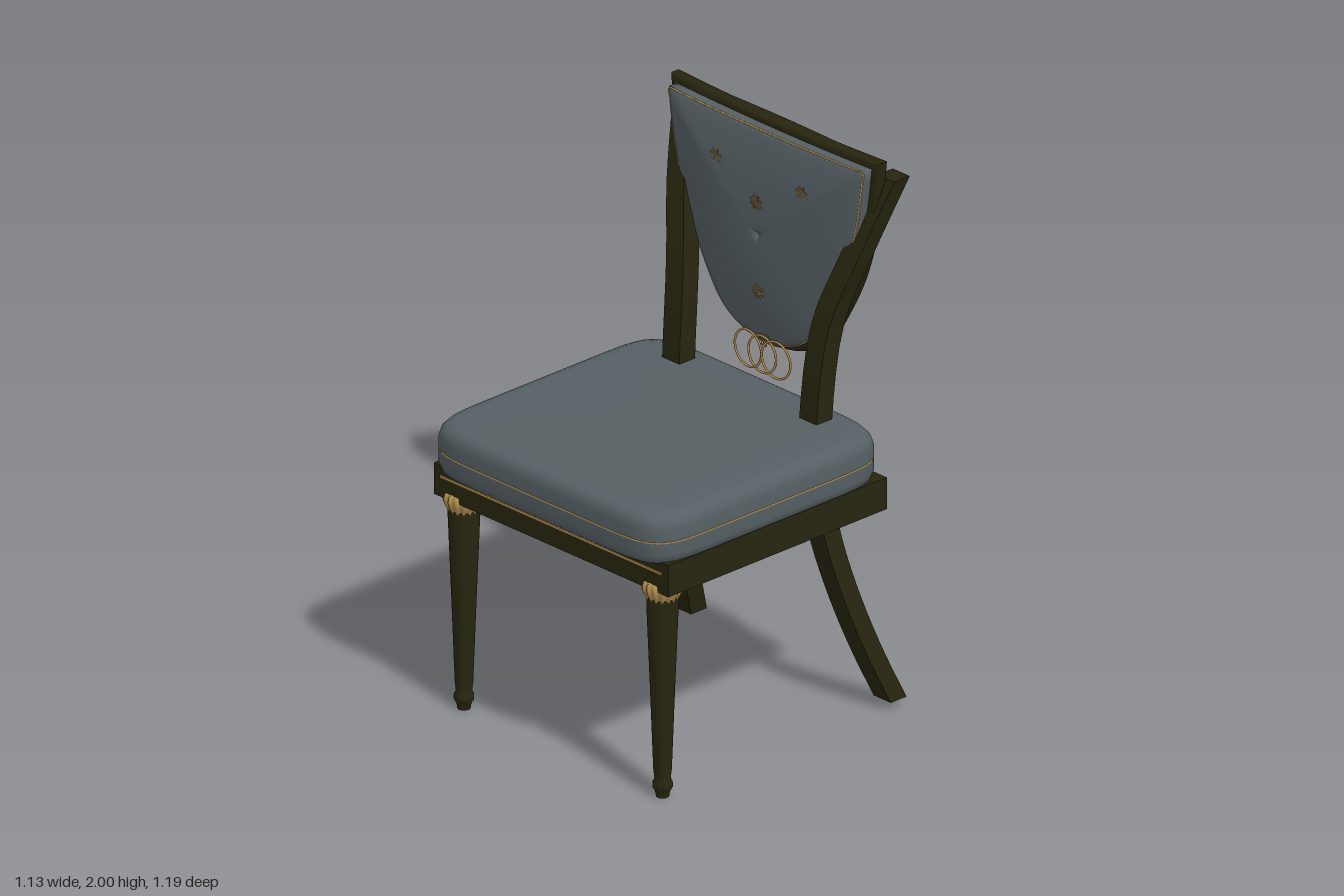
import * as THREE from 'three';
import { toCreasedNormals } from 'three/addons/utils/BufferGeometryUtils.js';

const V = (x, y, z) => new THREE.Vector3(x, y, z);
const wood = new THREE.MeshStandardMaterial({ color: 0x27250f });
wood.name = 'dark wood';
const fabric = new THREE.MeshStandardMaterial({ color: 0x566064 });
fabric.name = 'grey fabric';
const gold = new THREE.MeshStandardMaterial({ color: 0xb08d4e });
gold.name = 'antique gold';

// Skin over a list of closed rings with equal point counts
function loft(rings) {
  const n = rings[0].length, pos = [], index = [];
  rings.forEach((ring) => ring.forEach((p) => pos.push(p.x, p.y, p.z)));
  for (let i = 0; i < rings.length - 1; i++) {
    for (let j = 0; j < n; j++) {
      const k = (j + 1) % n, a = i * n + j, b = i * n + k;
      index.push(a, b, b + n, a, b + n, a + n);
    }
  }
  const g = new THREE.BufferGeometry();
  g.setAttribute('position', new THREE.Float32BufferAttribute(pos, 3));
  g.setIndex(index);
  g.computeVertexNormals();
  return g;
}

// Shield outline, counter-clockwise from the bottom tip; half = right side points
function shield(half, dip) {
  const side = new THREE.CatmullRomCurve3(half.map(([x, y]) => V(x, y, 0))).getPoints(28);
  const [w, top] = half[half.length - 1];
  const rail = [];
  for (let i = 1; i < 20; i++) {
    const t = 1 - i / 10;
    rail.push(V(w * t, top - dip * (1 - t * t), 0));
  }
  const left = side.slice(1).reverse().map((p) => V(-p.x, p.y, 0));
  return [...side, ...rail, ...left];
}

// Rounded-square seat ring, inset from the full cushion size
function seatRing(inset, y, scale = 1) {
  const ring = [], n = 9, count = 128;
  for (let i = 0; i < count; i++) {
    const a = (i / count) * Math.PI * 2, c = Math.cos(a), s = Math.sin(a);
    const r = (Math.abs(c) ** n + Math.abs(s) ** n) ** (-1 / n) * scale;
    ring.push(V(c * r * (0.565 - inset), y, 0.06 - s * r * (0.535 - inset)));
  }
  return ring;
}

export function createModel() {
  const root = new THREE.Group();
  root.name = 'chair';
  const add = (name, geometry, material, x = 0, y = 0, z = 0, parent = root) => {
    const m = new THREE.Mesh(geometry, material);
    m.name = name;
    m.position.set(x, y, z);
    parent.add(m);
    return m;
  };
  const loop = (points, r) =>
    new THREE.TubeGeometry(new THREE.CatmullRomCurve3(points, true), 220, r, 6, true);

  // Seat frame with gold inlay on front and back
  add('seatFrame', new THREE.BoxGeometry(1.12, 0.115, 1.0), wood, 0, 0.8275, 0.04);
  add('frontInlay', new THREE.BoxGeometry(1.06, 0.009, 0.006), gold, 0, 0.845, 0.541);
  add('backInlay', new THREE.BoxGeometry(1.06, 0.009, 0.006), gold, 0, 0.845, -0.461);

  // Seat cushion and its piping
  const layers = [[0.06, 0.868], [0.025, 0.87], [0.008, 0.882], [0, 0.91], [0, 0.96], [0, 1.005],
    [0.006, 1.028], [0.02, 1.045], [0.04, 1.053], [0.07, 1.056], [0.2, 1.057]];
  add('seatCushion', loft([seatRing(0, 0.868, 0), ...layers.map(([i, y]) => seatRing(i, y)),
    seatRing(0, 1.058, 0)]), fabric);
  add('seatPiping', loop(seatRing(0.002, 0.957), 0.004), gold);

  // Turned front legs with fluted gold collars
  const legProfile = [[0, 0], [0.022, 0], [0.025, 0.02], [0.034, 0.035], [0.034, 0.05], [0.027, 0.065],
    [0.031, 0.1], [0.042, 0.4], [0.054, 0.7], [0.054, 0.775]].map(([x, y]) => new THREE.Vector2(x, y));
  const legGeo = toCreasedNormals(new THREE.LatheGeometry(legProfile, 28), 0.6);
  const collarProfile = [[0.05, 0.722], [0.056, 0.735], [0.066, 0.755], [0.069, 0.77], [0.066, 0.79], [0.05, 0.795]]
    .map(([x, y]) => new THREE.Vector2(x, y));
  const collarGeo = new THREE.LatheGeometry(collarProfile, 96);
  const cp = collarGeo.attributes.position;
  for (let i = 0; i < cp.count; i++) {
    const k = 1 + 0.05 * Math.cos(16 * Math.atan2(cp.getZ(i), cp.getX(i)));
    cp.setX(i, cp.getX(i) * k);
    cp.setZ(i, cp.getZ(i) * k);
  }
  collarGeo.computeVertexNormals();

  // Swept rear legs that rise through the seat into the back posts: x, y, z centres
  const path = new THREE.CatmullRomCurve3([[0.478, 0.03, -0.553], [0.44, 0.2, -0.488], [0.4, 0.4, -0.424],
    [0.355, 0.6, -0.383], [0.333, 0.77, -0.36], [0.328, 0.92, -0.354], [0.328, 1.06, -0.356], [0.348, 1.4, -0.393],
    [0.415, 1.65, -0.46], [0.486, 1.93, -0.56]].map((p) => V(...p)));
  const square = (p, h, d) => [[1, 1], [1, -1], [-1, -1], [-1, 1]].map(([a, b]) => V(p.x + a * h, p.y, p.z + b * d));
  for (const side of [1, -1]) {
    const tag = side > 0 ? 'left' : 'right';
    add(tag + 'FrontLeg', legGeo, wood, side * 0.475, 0, 0.485);
    add(tag + 'FrontLegCollar', collarGeo, gold, side * 0.475, 0, 0.485);
    const pts = path.getPoints(36).map((p) => V(p.x * side, p.y, p.z));
    const rings = pts.map((p) => square(p, 0.041, 0.036));
    rings.unshift(square(pts[0], 0, 0));
    rings.push(square(pts[36], 0, 0));
    add(tag + 'RearLegAndPost', toCreasedNormals(loft(rings), 0.6), wood);
  }

  // Shield-shaped back frame
  const outer = shield([[0, 1.175], [0.125, 1.2], [0.227, 1.258], [0.325, 1.405], [0.39, 1.535],
    [0.435, 1.67], [0.466, 1.82], [0.488, 1.989]], 0.012);
  const panel = shield([[0, 1.192], [0.11, 1.212], [0.21, 1.272], [0.303, 1.41], [0.37, 1.55],
    [0.415, 1.68], [0.447, 1.82], [0.468, 1.972]], 0.008);
  const cy = 1.6;
  const flat = (pts, s) => pts.map((p) => new THREE.Vector2(p.x * s, cy + (p.y - cy) * s));
  const frameShape = new THREE.Shape(flat(outer, 1));
  frameShape.holes.push(new THREE.Path(flat(panel, 0.96)));
  const frameGeo = new THREE.ExtrudeGeometry(frameShape, {
    depth: 0.026, bevelEnabled: true, bevelSize: 0.01, bevelThickness: 0.01, bevelSegments: 3 });
  const fp = frameGeo.attributes.position;
  for (let i = 0; i < fp.count; i++) {
    if (fp.getY(i) > 1.9 && fp.getZ(i) < 0.013) {
      fp.setZ(i, fp.getZ(i) - 0.009 * Math.max(0, 1 - (fp.getX(i) / 0.25) ** 2));
    }
  }
  add('backFrame', toCreasedNormals(frameGeo, 0.9), wood, 0, 0, -0.515);

  // Padded back panel, domed in front, with a tufted centre on both faces
  const dimple = (s) => 0.014 * Math.exp(-((s / 0.035) ** 2));
  const frontZ = (s) => -0.44 + 0.044 * (1 - s ** 2.4);
  const panelRing = (s, z) => panel.map((p) => V(p.x * s, cy + (p.y - cy) * s, z));
  const steps = [0, 0.015, 0.03, 0.05, 0.08, 0.2, 0.4, 0.6, 0.75, 0.88, 0.96];
  const panelRings = [
    ...steps.map((s) => panelRing(s, -0.512 + 0.01 * s + dimple(s))),
    panelRing(0.985, -0.5), panelRing(1, -0.488), panelRing(1, -0.465), panelRing(1, -0.45),
    panelRing(0.994, -0.442),
    ...steps.slice().reverse().map((s) => panelRing(s, frontZ(s) - dimple(s))),
  ];
  add('backPanel', loft(panelRings), fabric);
  add('backPanelPiping', loop(panelRing(0.99, -0.443), 0.0035), gold);

  // Gold rosettes pinned to the back panel
  const petalGeo = new THREE.TorusGeometry(0.009, 0.0022, 5, 12);
  petalGeo.scale(1.1, 0.45, 1);
  const rosettes = [[-0.205, 1.815, -0.408], [0.205, 1.815, -0.408], [0, 1.72, -0.396], [0, 1.395, -0.404],
    [0, 1.212, -0.432]];
  rosettes.forEach(([x, y, z], i) => {
    const g = new THREE.Group();
    g.name = 'rosette' + (i + 1);
    g.position.set(x, y, z);
    for (let k = 0; k < 8; k++) {
      const a = (k / 8) * Math.PI * 2 + Math.PI / 8;
      const petal = add('petal', petalGeo, gold, Math.cos(a) * 0.018, Math.sin(a) * 0.018, 0, g);
      petal.rotation.z = a;
    }
    root.add(g);
  });

  // Three interlocking rings below the panel
  const ringGeo = new THREE.TorusGeometry(0.066, 0.004, 8, 48);
  [-0.068, 0, 0.066].forEach((x, i) => {
    const ring = add('hangingRing' + (i + 1), ringGeo, gold, x, 1.157, -0.425);
    ring.rotation.y = (i - 1) * 0.04;
  });

  return root;
}
